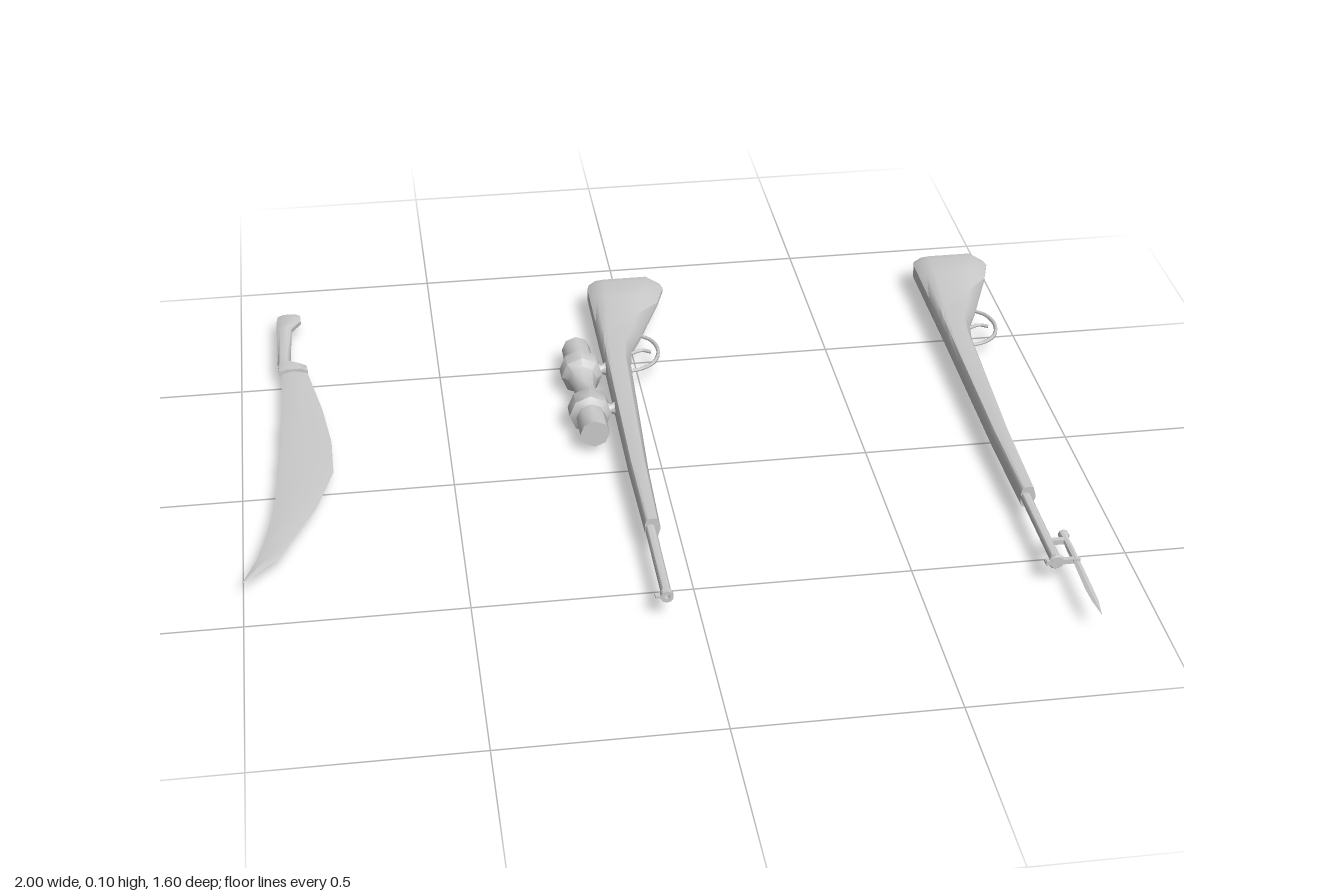
import * as THREE from 'three';
import { toCreasedNormals } from 'three/addons/utils/BufferGeometryUtils.js';

const material = new THREE.MeshStandardMaterial({ color: 0xcccccc });
const CY = 0.057; // height of the rifles' centre plane

function add(parent, name, geometry, x = 0, y = 0, z = 0) {
  const mesh = new THREE.Mesh(geometry, material);
  mesh.name = name;
  mesh.position.set(x, y, z);
  parent.add(mesh);
  return mesh;
}

// Lofts a profile along z. Rows: [z, xMin, xMax, halfHeight];
// profile: counter-clockwise [u 0..1 across, v -1..1 up].
function loft(rows, profile, crease = 0.8) {
  const n = profile.length, pos = [], index = [];
  for (const [z, x0, x1, h] of rows)
    for (const [u, v] of profile) pos.push(x0 + (x1 - x0) * u, v * h, z);
  for (let i = 0; i < rows.length - 1; i++) {
    for (let j = 0; j < n; j++) {
      const a = i * n + j, b = i * n + (j + 1) % n;
      index.push(a, b, b + n, a, b + n, a + n);
    }
  }
  const last = (rows.length - 1) * n;
  for (let j = 1; j < n - 1; j++) {
    index.push(0, j + 1, j, last, last + j, last + j + 1);
  }
  const g = new THREE.BufferGeometry();
  g.setAttribute('position', new THREE.Float32BufferAttribute(pos, 3));
  g.setIndex(index);
  return toCreasedNormals(g, crease);
}

// Turned part along z from [radius, z] points
function turned(points, sides) {
  const g = new THREE.LatheGeometry(points.map(([r, z]) => new THREE.Vector2(r, z)), sides);
  return toCreasedNormals(g.rotateX(Math.PI / 2), 0.9);
}

// Thin bent rod from [x, z] points
function rod(points, radius) {
  const curve = new THREE.CatmullRomCurve3(points.map(([x, z]) => new THREE.Vector3(x, 0, z)));
  return new THREE.TubeGeometry(curve, 16, radius, 6);
}

const STOCK = [[0, -0.5], [0.1, -0.92], [0.22, -1], [0.8, -1], [1, -0.15],
  [1, 0.15], [0.8, 1], [0.22, 1], [0.1, 0.92], [0, 0.5]];
const DIAMOND = [[0, 0], [0.45, -1], [1, 0], [0.45, 1]];
const OVAL = [[0, -0.4], [0.25, -1], [0.75, -1], [1, -0.4], [1, 0.4], [0.75, 1], [0.25, 1], [0, 0.4]];

function createRifle(name) {
  const rifle = new THREE.Group();
  rifle.name = name;
  add(rifle, 'stock', loft([
    [-0.8, -0.082, 0.108, 0.029], [-0.775, -0.088, 0.113, 0.034],
    [-0.7, -0.088, 0.088, 0.034], [-0.596, -0.088, 0.046, 0.033],
    [-0.53, -0.088, 0.02, 0.032], [-0.46, -0.088, -0.012, 0.031],
    [-0.39, -0.088, -0.023, 0.031], [-0.24, -0.089, -0.03, 0.03],
    [0.08, -0.09, -0.045, 0.028], [0.33, -0.086, -0.051, 0.027],
  ], STOCK), 0, CY);
  add(rifle, 'barrel', turned([[0, 0.1], [0.013, 0.1], [0.012, 0.598], [0.006, 0.598], [0.006, 0.57], [0, 0.57]], 10), -0.074, CY);
  add(rifle, 'muzzleBand', turned([[0.012, 0.583], [0.015, 0.583], [0.015, 0.598], [0.012, 0.598]], 10), -0.074, CY);
  add(rifle, 'frontSight', new THREE.BoxGeometry(0.016, 0.006, 0.013), -0.092, CY, 0.59);
  add(rifle, 'triggerGuard', rod([[0.018, -0.545], [0.046, -0.515], [0.056, -0.46],
    [0.037, -0.405], [0, -0.377], [-0.035, -0.37]], 0.005), 0, CY);
  add(rifle, 'trigger', rod([[-0.025, -0.45], [0.015, -0.468], [0.038, -0.457]], 0.005), 0, CY);
  return rifle;
}

function createScope() {
  const scope = new THREE.Group();
  scope.name = 'scope';
  add(scope, 'scopeTube', turned([[0, -0.505], [0.036, -0.505], [0.036, -0.42], [0.052, -0.412],
    [0.052, -0.37], [0.036, -0.355], [0.026, -0.3], [0.036, -0.24], [0.052, -0.228],
    [0.052, -0.185], [0.036, -0.175], [0.036, -0.095], [0, -0.095]], 8), -0.15, 0.053);
  for (const z of [-0.39, -0.2]) {
    // Waisted foot between the scope and the stock
    const foot = new THREE.LatheGeometry([[0.024, 0], [0.012, 0.02], [0.02, 0.035]]
      .map(([r, y]) => new THREE.Vector2(r, y)), 8).rotateZ(-Math.PI / 2);
    add(scope, 'scopeMount', foot, -0.118, CY, z);
  }
  return scope;
}

function createBayonet() {
  const bayonet = new THREE.Group();
  bayonet.name = 'bayonet';
  add(bayonet, 'bayonetBlade', loft([[0.59, -0.037, -0.021, 0.004], [0.7, -0.04, -0.022, 0.004],
    [0.75, -0.038, -0.023, 0.003], [0.8, -0.031, -0.03, 0.0005]], DIAMOND, 0.2), 0, CY);
  add(bayonet, 'bayonetGrip', turned([[0, 0.488], [0.012, 0.488], [0.013, 0.498], [0.008, 0.51],
    [0.009, 0.55], [0.008, 0.6], [0, 0.6]], 8), -0.03, CY);
  add(bayonet, 'crossGuard', new THREE.BoxGeometry(0.078, 0.012, 0.011), -0.059, CY, 0.592);
  add(bayonet, 'barrelClip', new THREE.BoxGeometry(0.04, 0.012, 0.012), -0.05, CY, 0.515);
  add(bayonet, 'barrelRing', new THREE.TorusGeometry(0.014, 0.005, 6, 12), -0.074, CY, 0.592);
  return bayonet;
}

function createMachete() {
  const machete = new THREE.Group();
  machete.name = 'machete';
  add(machete, 'macheteBlade', loft([
    [-0.515, -0.896, -0.834, 0.008], [-0.32, -0.9, -0.8, 0.008],
    [-0.17, -0.906, -0.783, 0.008], [-0.035, -0.913, -0.783, 0.008],
    [0.11, -0.926, -0.826, 0.007], [0.2, -0.942, -0.868, 0.006],
    [0.3, -0.966, -0.912, 0.004], [0.39, -1, -0.998, 0.0005],
  ], DIAMOND), 0, 0.04);
  add(machete, 'macheteHandle', loft([
    [-0.79, -0.902, -0.844, 0.01], [-0.76, -0.906, -0.843, 0.013],
    [-0.72, -0.906, -0.868, 0.013], [-0.55, -0.906, -0.874, 0.013],
    [-0.53, -0.905, -0.834, 0.014], [-0.505, -0.903, -0.831, 0.012],
  ], OVAL), 0, 0.042);
  return machete;
}

export function createModel() {
  const model = new THREE.Group();
  model.name = 'weaponSet';
  const scopedRifle = createRifle('scopedRifle');
  scopedRifle.add(createScope());
  const bayonetRifle = createRifle('bayonetRifle');
  bayonetRifle.add(createBayonet());
  bayonetRifle.position.set(0.883, 0, -0.005);
  model.add(createMachete(), scopedRifle, bayonetRifle);
  return model;
}
